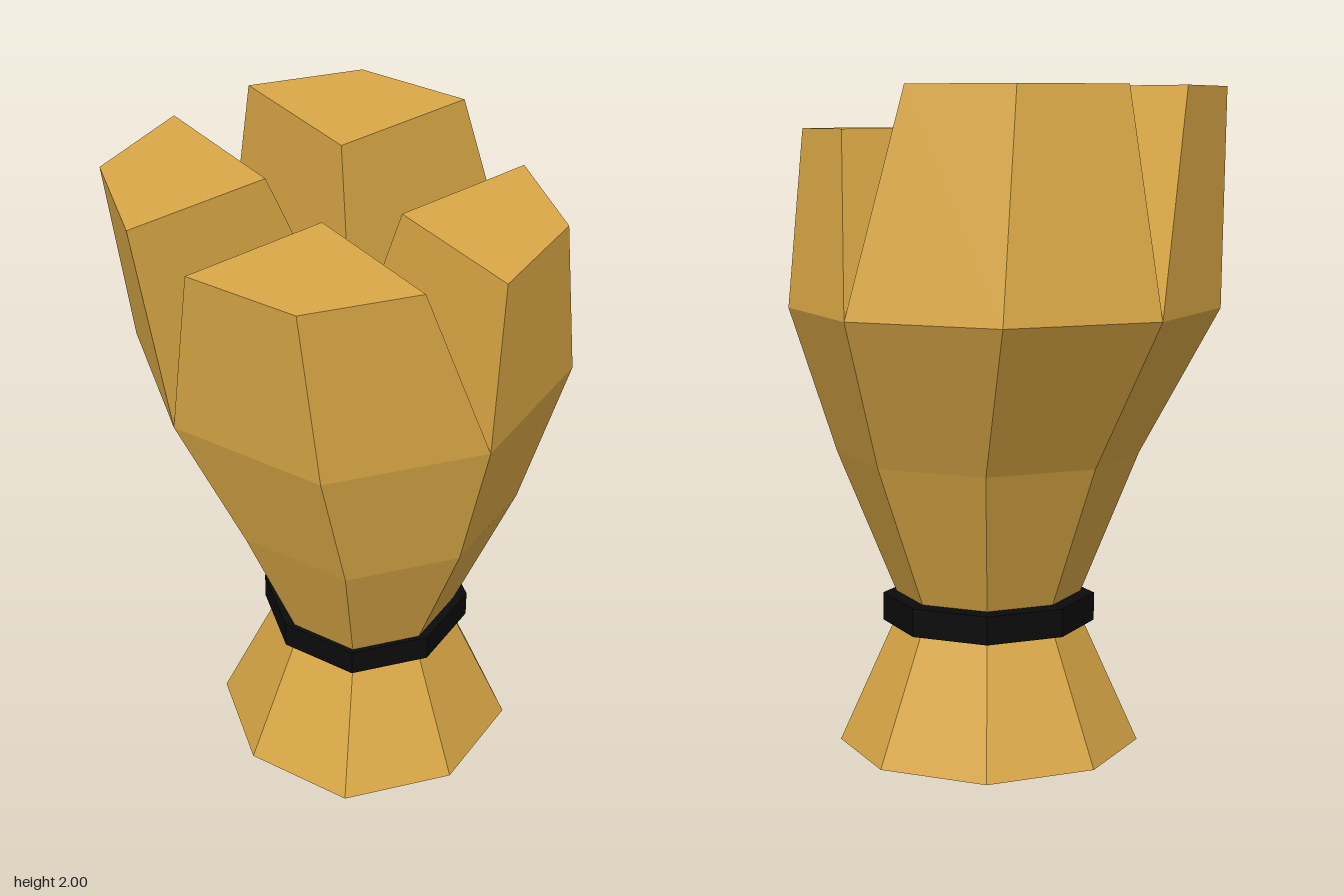
import * as THREE from 'three';

const DIAG = 0.728; // diagonal corners reach slightly outside a regular octagon

// direction of the i-th of eight corners, running from +x towards +z
function corner(i) {
  const a = (i * Math.PI) / 4;
  const s = i % 2 ? DIAG * Math.SQRT2 : 1;
  return [Math.cos(a) * s, Math.sin(a) * s];
}

// one horizontal octagonal loop
function ring(y, r, cx, cz) {
  return Array.from({ length: 8 }, (_, i) => {
    const [x, z] = corner(i);
    return new THREE.Vector3(cx + x * r, y, cz + z * r);
  });
}

// faceted skin through loops of equal length, with optional end caps
function loft(loops, capBottom, capTop) {
  const pts = [];
  const n = loops[0].length;
  for (let l = 0; l < loops.length - 1; l++) {
    const lo = loops[l], up = loops[l + 1];
    for (let i = 0; i < n; i++) {
      const j = (i + 1) % n;
      pts.push(lo[i], up[i], up[j], lo[i], up[j], lo[j]);
    }
  }
  const top = loops[loops.length - 1];
  for (let i = 1; i < n - 1; i++) {
    if (capBottom) pts.push(loops[0][0], loops[0][i], loops[0][i + 1]);
    if (capTop) pts.push(top[0], top[i + 1], top[i]);
  }
  const g = new THREE.BufferGeometry().setFromPoints(pts);
  g.computeVertexNormals();
  return g;
}

export function createModel() {
  const group = new THREE.Group();
  const gold = new THREE.MeshStandardMaterial({ name: 'gold', color: 0xdaa846 });
  const black = new THREE.MeshStandardMaterial({ name: 'black', color: 0x0b0b0b });

  const add = (name, geometry, material) => {
    const mesh = new THREE.Mesh(geometry, material);
    mesh.name = name;
    group.add(mesh);
  };

  // pinched octagonal body, left open where the prongs grow out of it
  const rim = ring(1.345, 0.626, 0.04, 0);
  add('body', loft([
    ring(0, 0.445, 0.036, 0.075),
    ring(0.43, 0.258, 0.036, 0.075),
    ring(0.9, 0.445, 0.036, 0.075),
    rim,
  ], true, false), gold);

  // band around the waist
  add('waistBand', loft([
    ring(0.385, 0.3125, 0.053, 0.057),
    ring(0.47, 0.3125, 0.053, 0.057),
  ], true, true), black);

  // four prongs, one on each quarter of the rim: inner top corner x, y, z
  const centre = new THREE.Vector3(0.04, 1.345, 0);
  const prongs = [
    ['frontLeftProng', 0.08, 1.875, 0.17],
    ['frontRightProng', -0.16, 1.915, 0.125],
    ['backRightProng', -0.23, 2, -0.035],
    ['backLeftProng', 0.042, 2, -0.055],
  ];
  prongs.forEach(([name, x, y, z], q) => {
    const ids = [0, 1, 2].map((k) => (q * 2 + k) % 8);
    const base = [centre, ...ids.map((i) => rim[i])];
    const top = [new THREE.Vector3(x, y, z), ...ids.map((i) => {
      const [dx, dz] = corner(i);
      return new THREE.Vector3(x + dx * 0.443, y, z + dz * 0.443);
    })];
    add(name, loft([base, top], false, true), gold);
  });

  return group;
}
